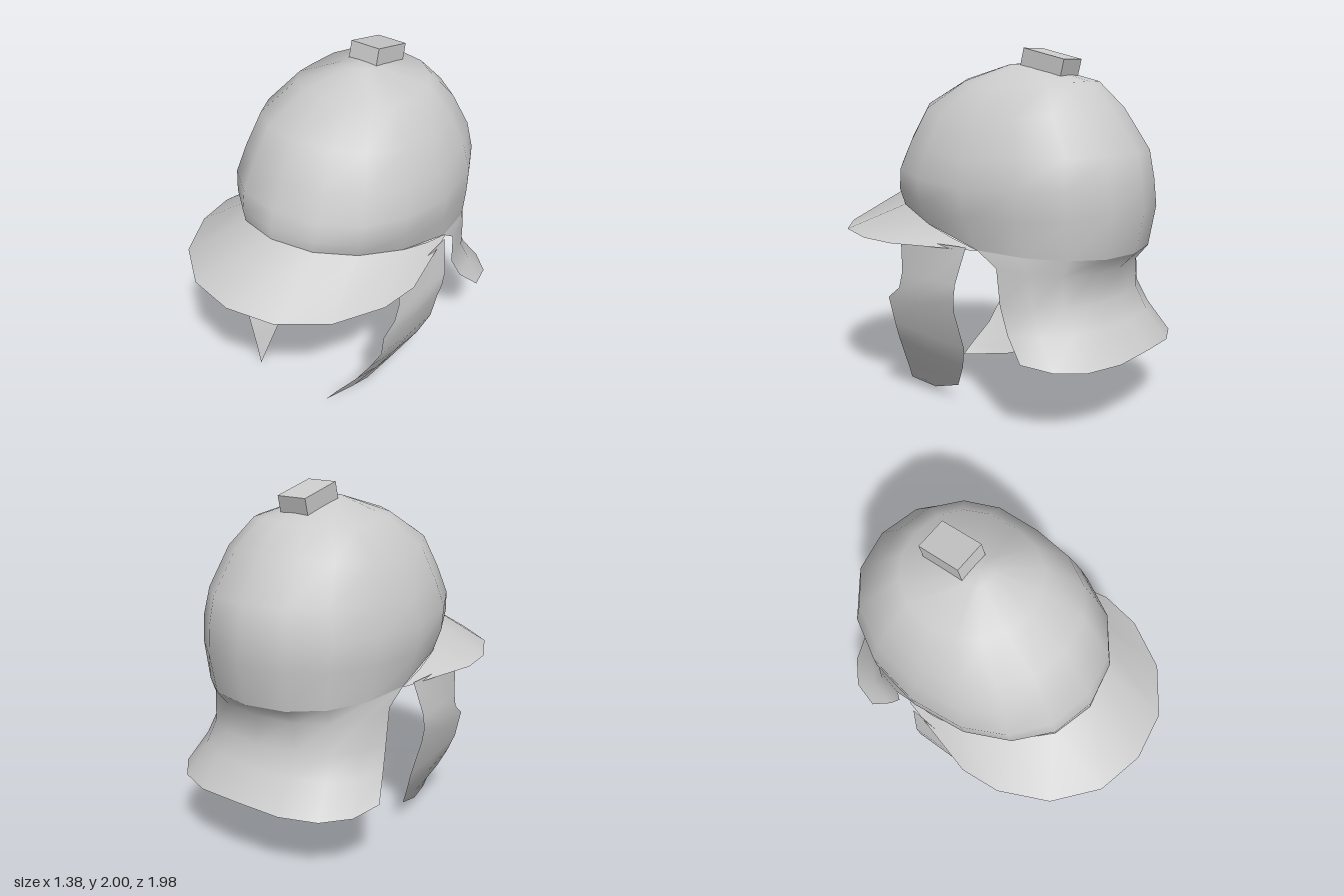
import * as THREE from 'three';
import { mergeVertices } from 'three/addons/utils/BufferGeometryUtils.js';

const material = new THREE.MeshStandardMaterial({ color: 0xcccccc, side: THREE.DoubleSide });

// Smooth sheet through rows of [x, y, z] points
function sheet(name, rows) {
  const n = rows[0].length;
  const index = [];
  for (let r = 0; r < rows.length - 1; r++) {
    for (let c = 0; c < n - 1; c++) {
      const a = r * n + c, b = a + n;
      index.push(a, b, a + 1, a + 1, b, b + 1);
    }
  }
  let geometry = new THREE.BufferGeometry();
  geometry.setAttribute('position', new THREE.Float32BufferAttribute(rows.flat(2), 3));
  geometry.setIndex(index);
  geometry = mergeVertices(geometry, 1e-4);
  geometry.computeVertexNormals();
  const mesh = new THREE.Mesh(geometry, material);
  mesh.name = name;
  return mesh;
}

const soften = (v) => Math.sign(v) * Math.abs(v) ** 0.9;

// Point on a tilted oval ring; angle 0 is the front, 90 the left, 180 the back
function ringPoint({ front, side, back, width }, degrees) {
  const a = THREE.MathUtils.degToRad(degrees);
  const c = soften(Math.cos(a));
  const end = c > 0 ? front : back;
  const t = Math.abs(c);
  return [
    width * soften(Math.sin(a)),
    side[1] + (end[1] - side[1]) * t,
    side[0] + (end[0] - side[0]) * t,
  ];
}

const ring = (front, side, back, width) => ({ front, side, back, width });
const steps = (from, to, step) =>
  Array.from({ length: Math.round((to - from) / step) + 1 }, (_, i) => from + i * step);

export function createModel() {
  const group = new THREE.Group();

  // Dome: rings of [z, y] at front, side and back, plus half width
  const rim = ring([0.615, 1.175], [-0.25, 0.945], [-0.89, 0.91], 0.565);
  const domeRings = [
    ring([-0.17, 1.915], [-0.17, 1.915], [-0.17, 1.915], 0),
    ring([-0.09, 1.91], [-0.17, 1.91], [-0.26, 1.905], 0.09),
    ring([0.15, 1.83], [-0.2, 1.79], [-0.59, 1.82], 0.355),
    ring([0.4, 1.69], [-0.17, 1.6], [-0.73, 1.68], 0.5),
    ring([0.51, 1.5], [-0.16, 1.42], [-0.89, 1.45], 0.565),
    ring([0.585, 1.34], [-0.16, 1.27], [-0.915, 1.29], 0.61),
    ring([0.615, 1.24], [-0.18, 1.11], [-0.935, 1.14], 0.595),
    rim,
  ];
  const around = steps(0, 360, 22.5);
  group.add(sheet('dome', domeRings.map((r) => around.map((a) => ringPoint(r, a)))));

  // Neck guard: rear half rings flaring out to the bottom edge
  const neckRings = [
    rim,
    ring([0, 0], [-0.37, 0.86], [-0.8, 0.82], 0.56),
    ring([0, 0], [-0.39, 0.66], [-0.81, 0.66], 0.555),
    ring([0, 0], [-0.46, 0.52], [-0.87, 0.54], 0.585),
    ring([0, 0], [-0.58, 0.4], [-0.99, 0.39], 0.645),
  ];
  const behind = steps(90, 270, 22.5);
  const neckRows = neckRings.map((r) => behind.map((a) => ringPoint(r, a)));
  // Lower edge dips between the corners and the centre
  neckRows.at(-1).forEach((p, i) => {
    p[1] -= 0.025 * Math.abs(Math.sin(THREE.MathUtils.degToRad(2 * behind[i])));
  });
  group.add(sheet('neckGuard', neckRows));

  // Visor: from the front half of the rim out to a level edge, [rim angle, x, z]
  const half = [
    [0, 0, 0.99], [22.5, 0.28, 0.935], [45, 0.52, 0.75],
    [67.5, 0.66, 0.48], [80, 0.69, 0.25], [90, 0.575, -0.25],
  ];
  const visor = [...half.slice(1).reverse().map(([a, x, z]) => [-a, -x, z]), ...half];
  group.add(sheet('visor', [
    visor.map(([a]) => ringPoint(rim, a)),
    visor.map(([, x, z]) => [x, 0.944, z]),
  ]));

  // Cheek guards: front edge [x, y, z] and back edge [x, y, z] per row
  const cheek = [
    [[0.595, 0.96, 0.26], [0.6, 0.96, -0.2]],
    [[0.6, 0.77, 0.25], [0.645, 0.76, -0.16]],
    [[0.595, 0.67, 0.28], [0.64, 0.67, -0.145]],
    [[0.585, 0.6, 0.37], [0.62, 0.59, -0.135]],
    [[0.56, 0.45, 0.35], [0.57, 0.39, -0.16]],
    [[0.5, 0.33, 0.37], [0.515, 0.26, -0.11]],
    [[0.42, 0.2, 0.4], [0.42, 0.1, 0]],
    [[0.32, 0.08, 0.455], [0.37, 0.03, 0.21]],
    [[0.26, 0, 0.49], [0.26, 0, 0.49]],
  ];
  for (const s of [1, -1]) {
    const rows = cheek.map(([f, b], i) => {
      const bulge = i < cheek.length - 1 ? 0.012 : 0;
      const mid = f.map((v, k) => (v + b[k]) / 2 + (k === 0 ? bulge : 0));
      return [f, mid, b].map(([x, y, z]) => [s * x, y, z]);
    });
    group.add(sheet(s > 0 ? 'leftCheekGuard' : 'rightCheekGuard', rows));
  }

  // Crest mount: small tilted block on top
  const mount = new THREE.Mesh(new THREE.BoxGeometry(0.185, 0.095, 0.268), material);
  mount.name = 'crestMount';
  mount.position.set(0, 1.923, -0.34);
  mount.rotation.x = -0.23;
  group.add(mount);

  return group;
}
